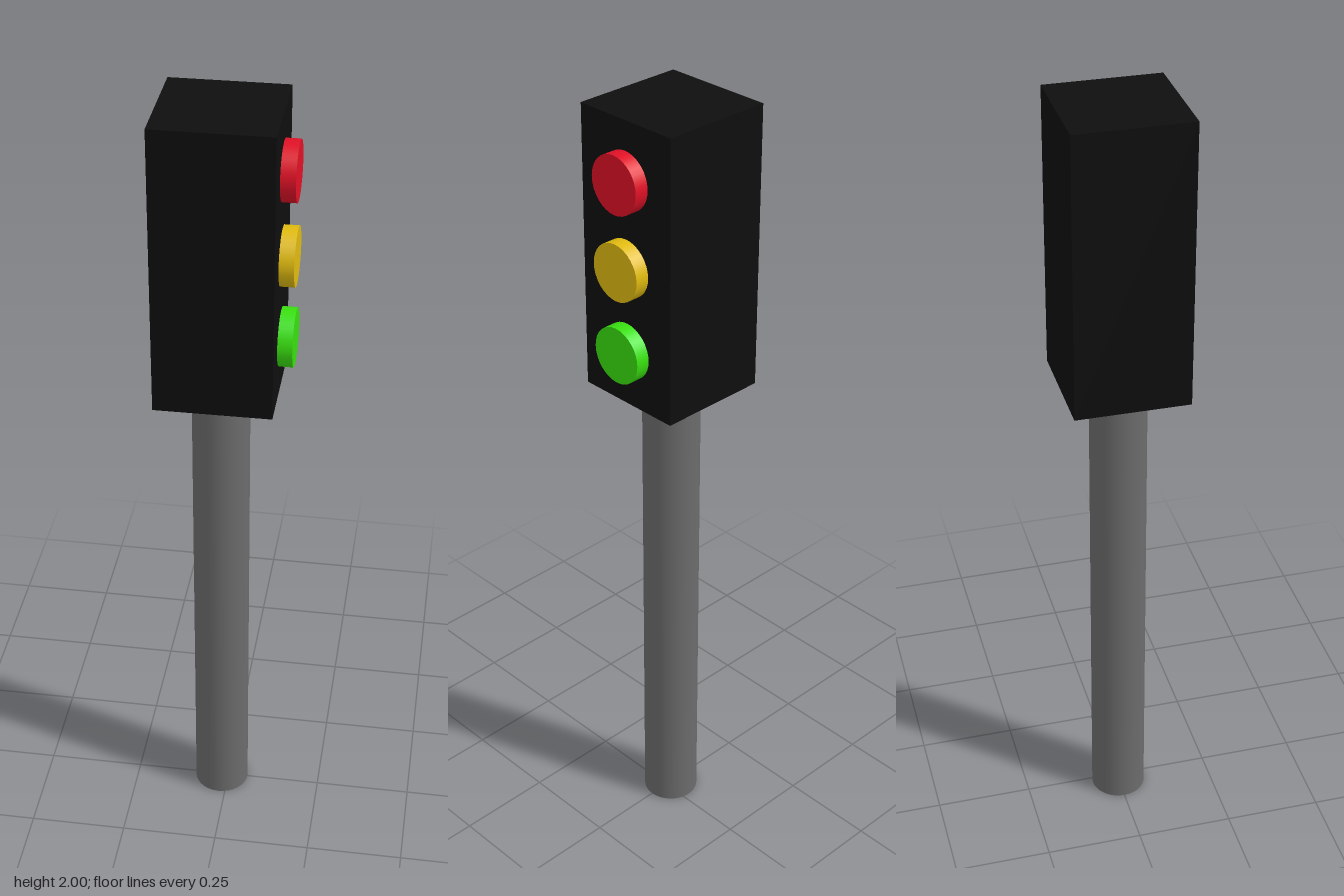
import * as THREE from 'three';

const paint = (name, color) => {
  const material = new THREE.MeshStandardMaterial({ color });
  material.name = name;
  return material;
};

export function createModel() {
  const model = new THREE.Group();
  model.name = 'trafficLight';

  const unit = 1 / 14;        // pole radius; the other sizes are multiples of it
  const axisX = -unit / 4;    // shared axis of pole and housing
  const housingWidth = 4 * unit;
  const housingHeight = 10 * unit;
  const housingBottom = 2 - housingHeight;

  const add = (name, geometry, material, x, y) => {
    const mesh = new THREE.Mesh(geometry, material);
    mesh.name = name;
    mesh.position.set(x, y, 0);
    model.add(mesh);
    return mesh;
  };

  // Pole
  add('pole', new THREE.CylinderGeometry(unit, unit, housingBottom, 32),
    paint('poleGrey', 0x6b6b6b), axisX, housingBottom / 2);

  // Signal housing
  add('housing', new THREE.BoxGeometry(housingWidth, housingHeight, housingWidth),
    paint('housingBlack', 0x0e0e0e), axisX, housingBottom + housingHeight / 2);

  // Lamps: discs set into the +x face, standing out by half a unit
  const lampGeometry = new THREE.CylinderGeometry(unit, unit, unit, 32).rotateZ(-Math.PI / 2);
  const lampX = axisX + housingWidth / 2;
  [['red', 0xe01126], ['yellow', 0xe0bb10], ['green', 0x39e010]].forEach(([name, color], i) => {
    add(name + 'Lamp', lampGeometry, paint(name, color), lampX, 2 - unit * (2 + 3 * i));
  });

  return model;
}
